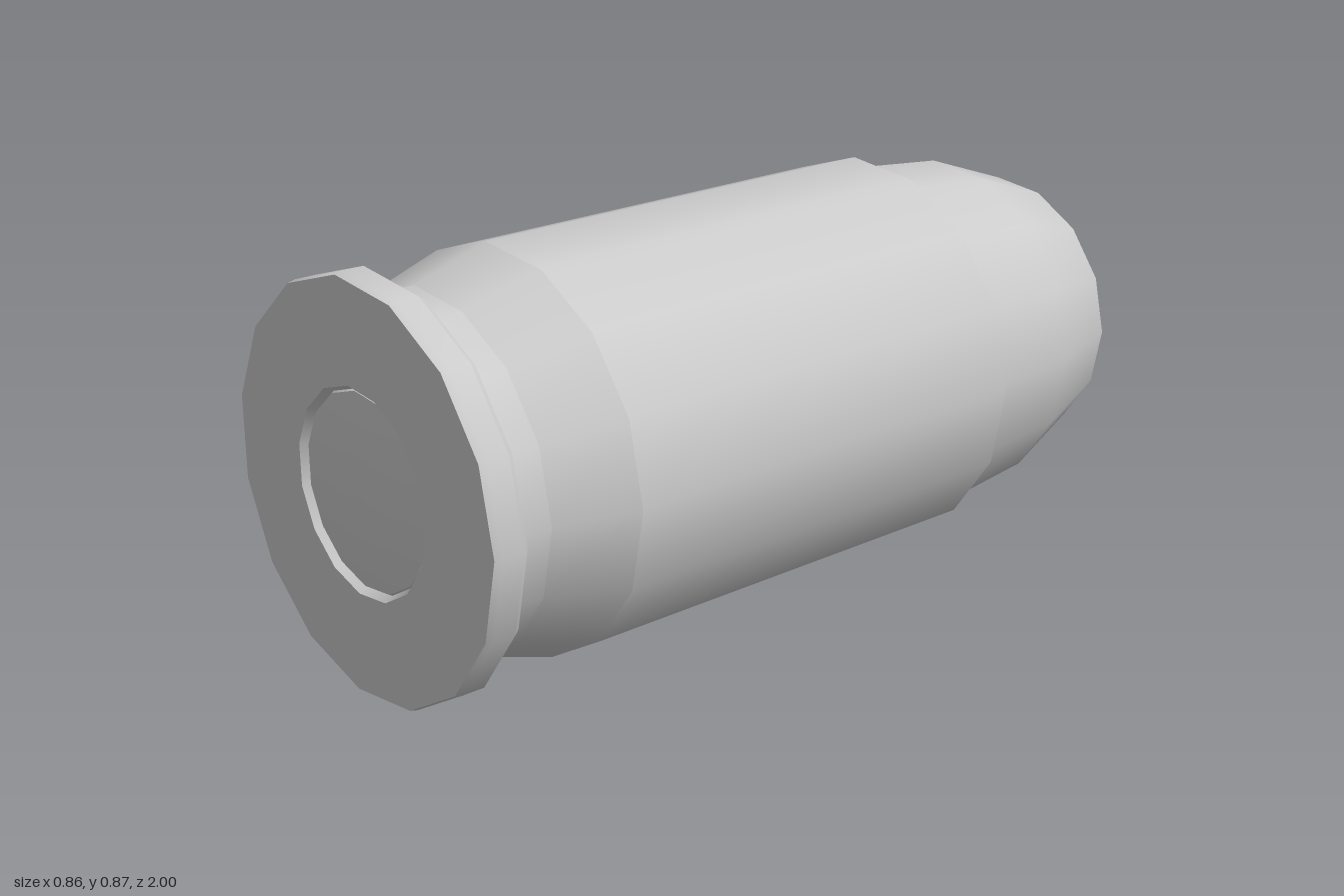
import * as THREE from 'three';
import { mergeGeometries } from 'three/addons/utils/BufferGeometryUtils.js';

const SIDES = 15;
const material = new THREE.MeshStandardMaterial({ color: 0xcccccc, side: THREE.DoubleSide });

// Each run is a smooth strip of [radius, z] points; edges between runs stay sharp.
function turned(name, runs) {
  const strips = runs.map((run) => new THREE.LatheGeometry(
    run.map(([r, z]) => new THREE.Vector2(r, z)), SIDES, Math.PI / 2));
  const geometry = mergeGeometries(strips);
  geometry.rotateX(Math.PI / 2); // turning axis becomes z
  const mesh = new THREE.Mesh(geometry, material);
  mesh.name = name;
  return mesh;
}

export function createModel() {
  const group = new THREE.Group();
  group.name = 'cartridge';

  // Rounded nose, seated a little way inside the case
  group.add(turned('bullet', [
    [[0, -1], [0.163, -0.957], [0.304, -0.825], [0.38, -0.61], [0.405, -0.36], [0.405, -0.3]],
  ]));

  // Straight wall with its mouth, and the taper into the groove
  group.add(turned('case', [
    [[0.4, -0.36], [0.429, -0.36]],
    [[0.429, -0.36], [0.429, 0.65]],
    [[0.429, 0.65], [0.376, 0.825]],
  ]));

  // Extractor groove flowing into the back of the rim
  group.add(turned('extractorGroove', [
    [[0.376, 0.825], [0.372, 0.9], [0.38, 0.913], [0.425, 0.918]],
  ]));

  // Rim edge, base face and the wall of the primer pocket
  group.add(turned('rim', [
    [[0.425, 0.918], [0.435, 0.932]],
    [[0.435, 0.932], [0.435, 0.98], [0.431, 0.997]],
    [[0.431, 0.997], [0.216, 0.997]],
    [[0.216, 0.997], [0.205, 0.975]],
  ]));

  // Slightly domed primer
  group.add(turned('primer', [
    [[0.208, 0.975], [0.203, 0.984]],
    [[0.203, 0.984], [0.14, 0.994], [0.07, 0.999], [0, 1]],
  ]));

  group.position.set(-0.005, 0.434, 0);
  return group;
}
